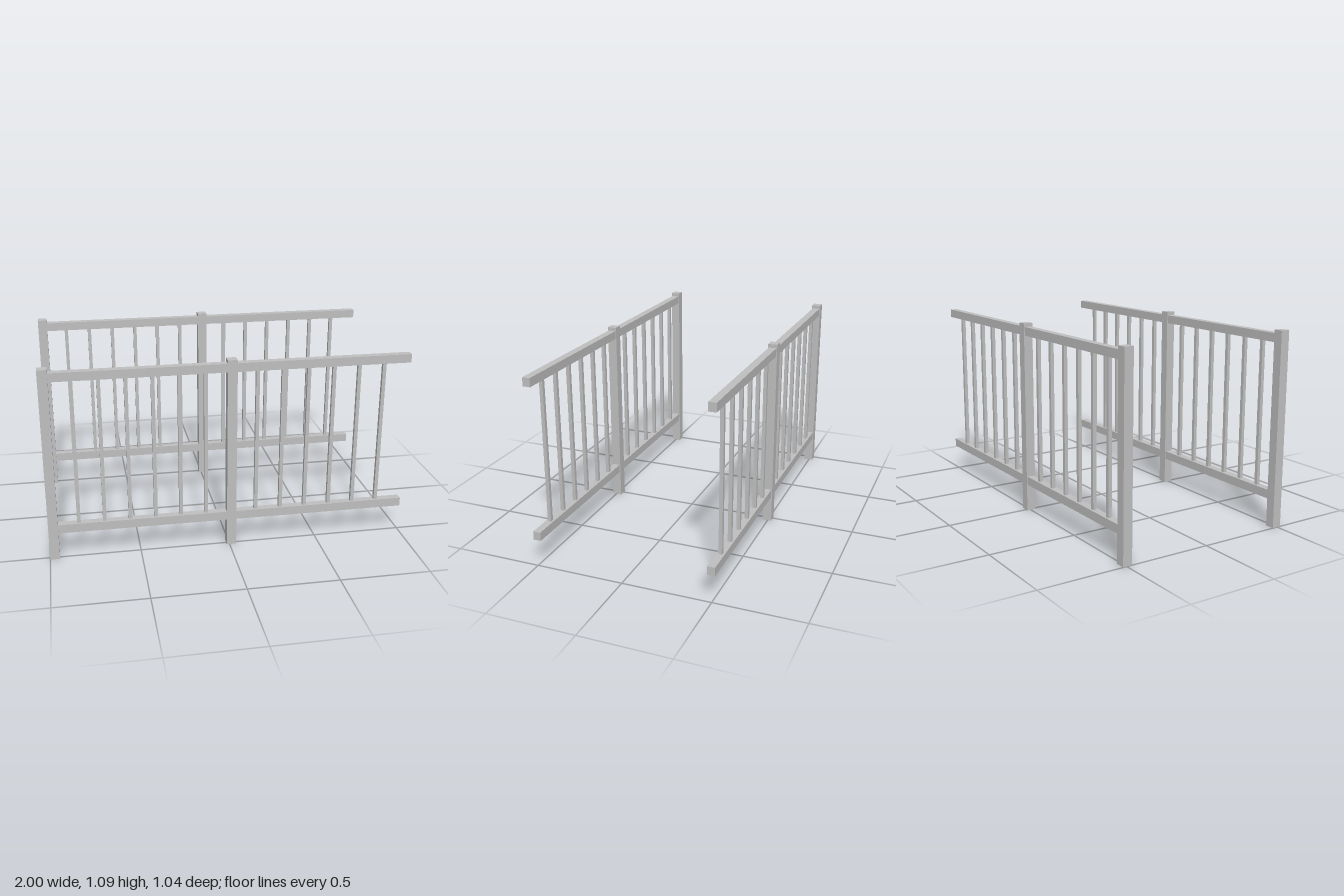
import * as THREE from 'three';

export function createModel() {
  const model = new THREE.Group();
  const grey = new THREE.MeshStandardMaterial({ color: 0xbfbfbf });
  grey.name = 'grey metal';

  const POST = 0.053, HEIGHT = 1.087, SPACING = 0.1406;
  const START = -1 + POST / 2;            // centre of the end post
  const LOWER = [0.154, 0.203], UPPER = [1.019, 1.067]; // rail bottoms and tops

  // Box given by its x and y ranges and its depth
  function bar(parent, name, x0, x1, y0, y1, depth) {
    const mesh = new THREE.Mesh(new THREE.BoxGeometry(x1 - x0, y1 - y0, depth), grey);
    mesh.position.set((x0 + x1) / 2, (y0 + y1) / 2, 0);
    mesh.name = name;
    parent.add(mesh);
  }

  for (const side of [1, -1]) {
    const railing = new THREE.Group();
    railing.name = side > 0 ? 'frontRailing' : 'backRailing';
    railing.position.z = side * 0.495;

    // Posts take every seventh place, balusters the rest
    for (let i = 0; i < 14; i++) {
      const x = START + i * SPACING;
      if (i % 7 === 0) bar(railing, 'post', x - POST / 2, x + POST / 2, 0, HEIGHT, POST);
      else bar(railing, 'baluster', x - 0.01, x + 0.01, LOWER[1], UPPER[0], 0.02);
    }

    // Rails run through the posts to the open end
    bar(railing, 'lowerRail', START, 1, ...LOWER, 0.043);
    bar(railing, 'upperRail', START, 1, ...UPPER, 0.043);
    model.add(railing);
  }
  return model;
}
